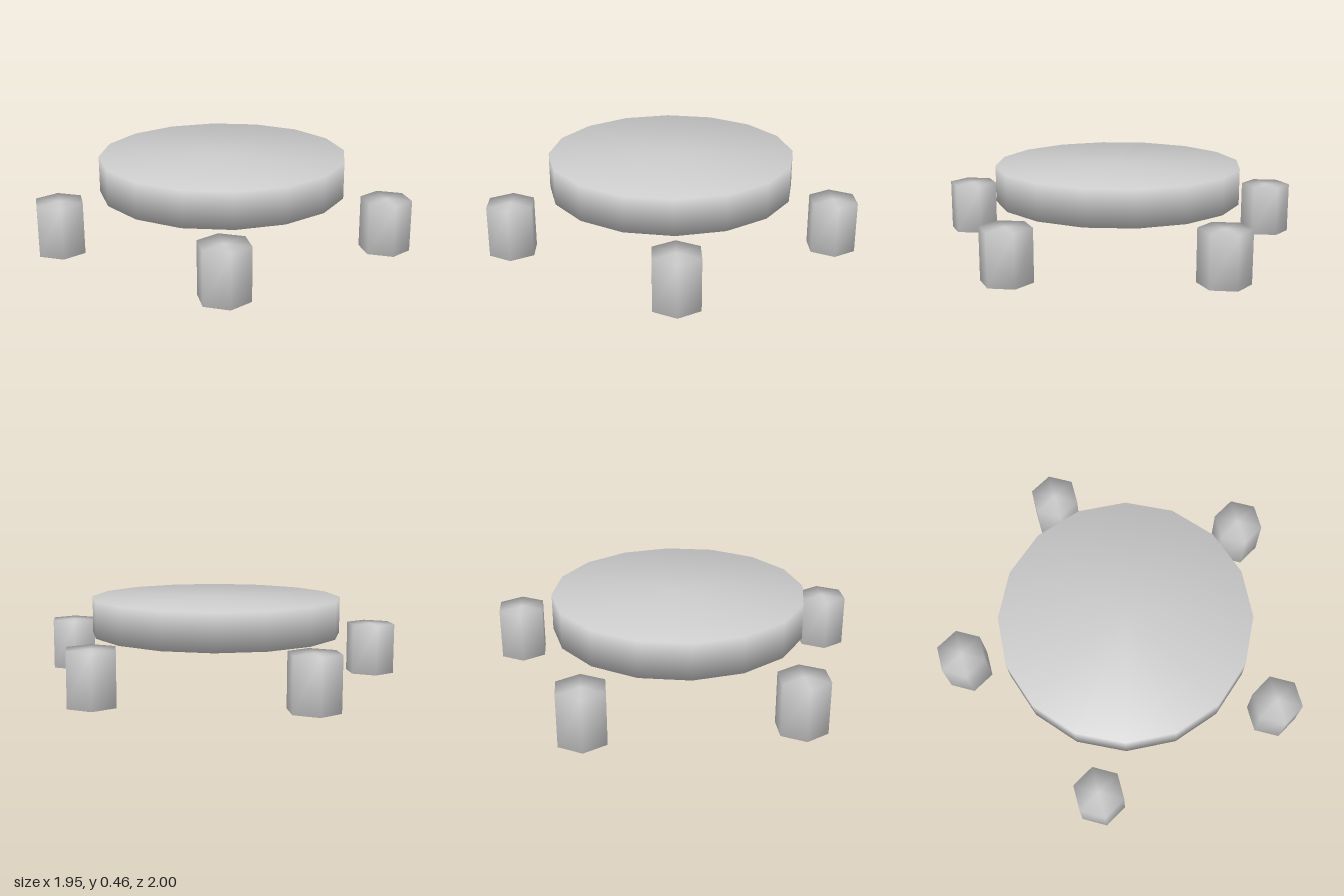
import * as THREE from 'three';
import { mergeVertices } from 'three/addons/utils/BufferGeometryUtils.js';

const TABLE_X = -0.09;
const material = new THREE.MeshStandardMaterial({ color: 0xcccccc });

// Prism with shared corners, so shading runs smoothly over its edges
function softPrism(radius, height, sides) {
  const prism = new THREE.CylinderGeometry(radius, radius, height, sides, 1, false, Math.PI / 2);
  prism.deleteAttribute('normal');
  prism.deleteAttribute('uv');
  const geometry = mergeVertices(prism, 1e-4);
  geometry.computeVertexNormals();
  return geometry;
}

export function createModel() {
  const group = new THREE.Group();
  group.name = 'tableWithStools';

  // Round table top, floating above the ground
  const top = new THREE.Mesh(softPrism(0.691, 0.2, 16), material);
  top.name = 'tableTop';
  top.position.set(TABLE_X, 0.362, 0);
  group.add(top);

  // Five hexagonal stools in a ring, all turned the same way
  const stoolGeometry = softPrism(0.139, 0.284, 6);
  for (let i = 0; i < 5; i++) {
    const angle = (i * 2 * Math.PI) / 5;
    const stool = new THREE.Mesh(stoolGeometry, material);
    stool.name = `stool${i + 1}`;
    stool.position.set(TABLE_X + 0.925 * Math.cos(angle), 0.142, 0.925 * Math.sin(angle));
    group.add(stool);
  }
  return group;
}
